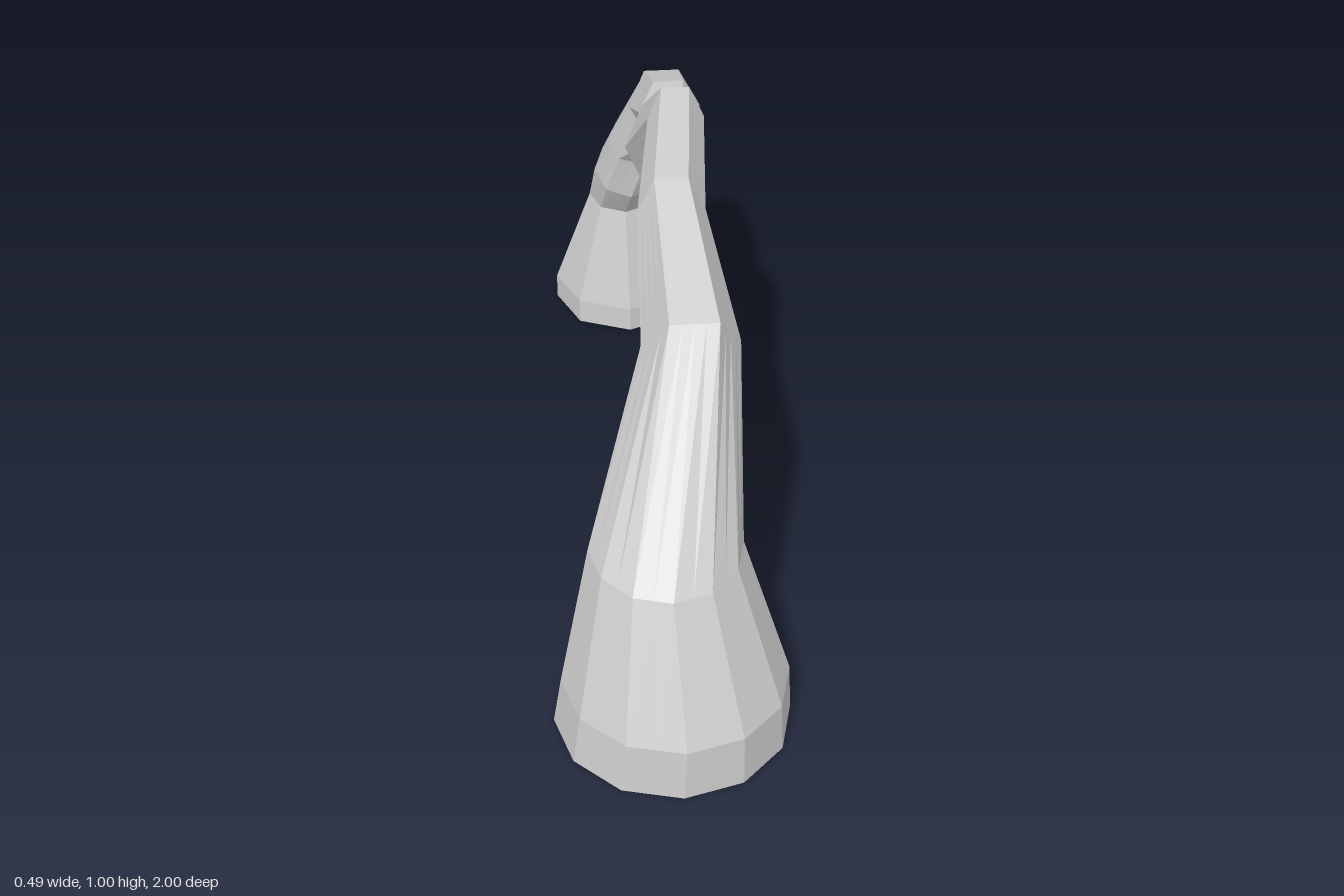
import * as THREE from 'three';

const STEPS = 24; // points per ring; divisible by every side count used

// Ring: [outer z, outer y, inner z, inner y, centre x, half width, sides]
const RINGS = [
  // broad front foot
  [1.0, 0, 0.52, 0, 0, 0.243, 12],
  [0.99, 0.11, 0.535, 0.11, 0.005, 0.232, 12],
  [0.86, 0.38, 0.535, 0.4, -0.01, 0.155, 12],
  // arch
  [0.53, 0.8, 0.41, 0.63, 0.06, 0.1, 6],
  [0.21, 0.94, 0.22, 0.8, 0.045, 0.07, 6],
  [-0.07, 1.0, -0.03, 0.88, 0.08, 0.06, 6],
  [-0.37, 0.8, -0.27, 0.64, 0.08, 0.087, 6],
  [-0.5, 0.79, -0.42, 0.67, 0.11, 0.07, 6],
  [-0.73, 0.7, -0.55, 0.6, 0.115, 0.085, 6],
  // thin neck and flared rear foot
  [-0.77, 0.56, -0.635, 0.49, 0.065, 0.085, 8],
  [-0.845, 0.45, -0.66, 0.385, 0.035, 0.085, 8],
  [-0.885, 0.33, -0.715, 0.31, 0.025, 0.085, 8],
  [-1.0, 0.06, -0.645, 0.06, 0.03, 0.178, 8],
  [-1.0, 0, -0.64, 0, 0.03, 0.178, 8],
];

// Points of a polygonal ring stretched between its outer and inner edge
function ringPoints([oz, oy, iz, iy, cx, half, sides]) {
  const seg = (2 * Math.PI) / sides;
  const phase = sides === 6 ? seg / 2 : 0;
  const reach = sides === 6 ? Math.cos(seg / 2) : 1;
  return Array.from({ length: STEPS }, (_, i) => {
    const a = (i / STEPS) * 2 * Math.PI;
    const local = (a - phase + seg) % seg;
    const r = Math.cos(seg / 2) / Math.cos(local - seg / 2);
    const u = (r * Math.cos(a)) / reach;
    return new THREE.Vector3(
      cx + half * r * Math.sin(a),
      (oy + iy) / 2 + (u * (oy - iy)) / 2,
      (oz + iz) / 2 + (u * (oz - iz)) / 2
    );
  });
}

function loft(rings) {
  const pos = [];
  const tri = (...pts) => pts.forEach((p) => pos.push(p.x, p.y, p.z));
  const loops = rings.map(ringPoints);
  const middle = (loop) =>
    loop.reduce((s, p) => s.add(p), new THREE.Vector3()).divideScalar(STEPS);
  const first = loops[0];
  const last = loops[loops.length - 1];
  const c0 = middle(first);
  const c1 = middle(last);
  for (let i = 0; i < STEPS; i++) {
    const j = (i + 1) % STEPS;
    for (let k = 0; k < loops.length - 1; k++) {
      const a = loops[k];
      const b = loops[k + 1];
      tri(a[i], a[j], b[j]);
      tri(a[i], b[j], b[i]);
    }
    // flat soles
    tri(c0, first[j], first[i]);
    tri(c1, last[i], last[j]);
  }
  const geo = new THREE.BufferGeometry();
  geo.setAttribute('position', new THREE.Float32BufferAttribute(pos, 3));
  geo.computeVertexNormals();
  return geo;
}

export function createModel() {
  const group = new THREE.Group();
  group.name = 'rockArch';
  const arch = new THREE.Mesh(
    loft(RINGS),
    new THREE.MeshStandardMaterial({ color: 0xcccccc, flatShading: true })
  );
  arch.name = 'archBody';
  group.add(arch);
  return group;
}
